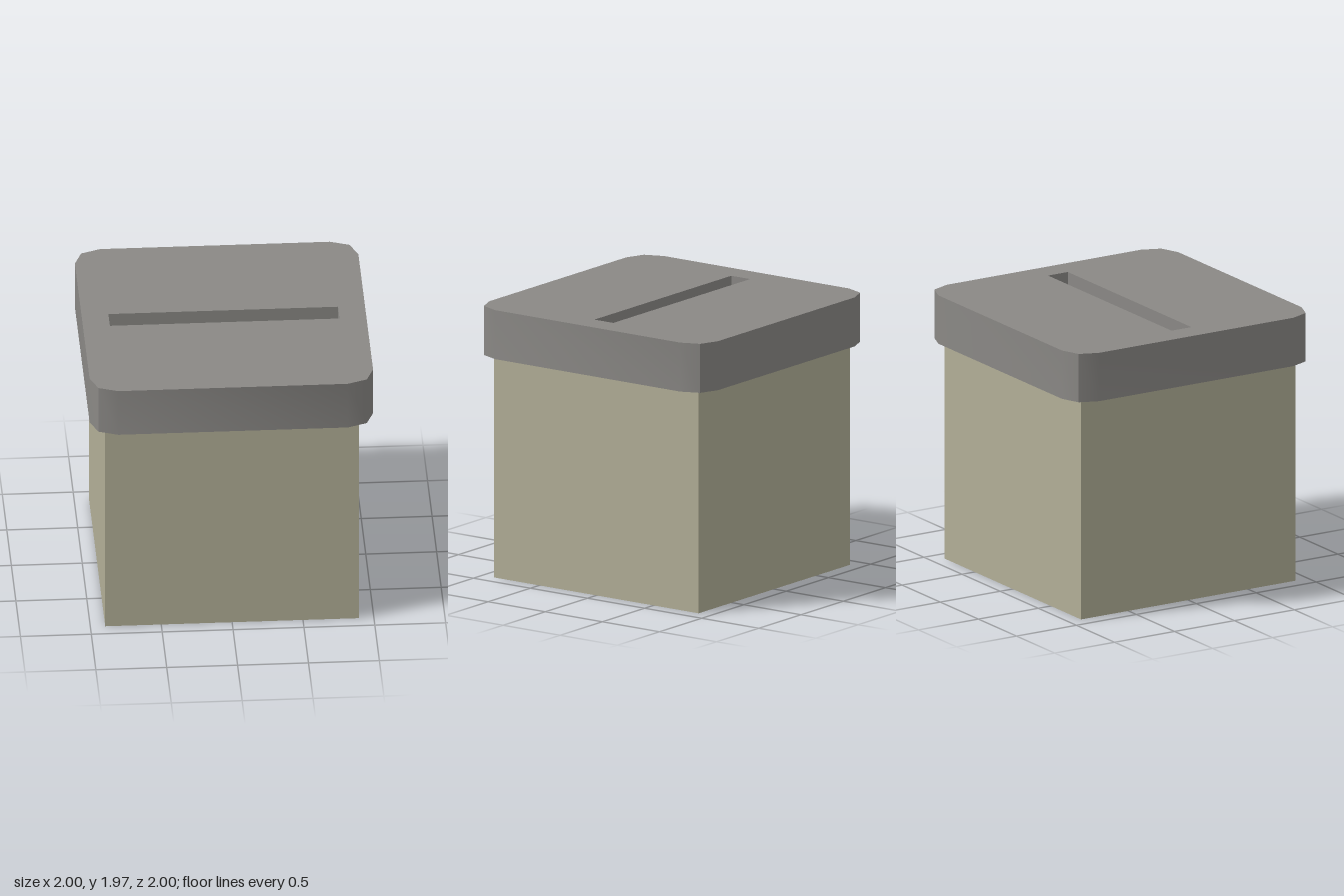
import * as THREE from 'three';
import { toCreasedNormals } from 'three/addons/utils/BufferGeometryUtils.js';

const BODY_WIDTH = 1.79, BODY_HEIGHT = 1.615, LID_HEIGHT = 0.355;

export function createModel() {
  const model = new THREE.Group();
  model.name = 'slottedBox';

  const tan = new THREE.MeshStandardMaterial({ name: 'tan', color: 0xb2af97 });
  const grey = new THREE.MeshStandardMaterial({ name: 'warm grey', color: 0x8a8885 });

  // Square body; its top is the floor of the slot
  const body = new THREE.Mesh(new THREE.BoxGeometry(BODY_WIDTH, BODY_HEIGHT, BODY_WIDTH), tan);
  body.name = 'body';
  body.position.y = BODY_HEIGHT / 2;
  model.add(body);

  // Lid outline: one faceted corner turned through four quarters
  const corner = [[1, 0.81], [0.947, 0.947], [0.81, 1]];
  const outline = [];
  for (let i = 0; i < 4; i++) {
    for (const [x, y] of corner) {
      outline.push(new THREE.Vector2(x, y).rotateAround(new THREE.Vector2(), i * Math.PI / 2));
    }
  }
  const lidShape = new THREE.Shape(outline);

  // Long slot through the lid
  lidShape.holes.push(new THREE.Path([
    new THREE.Vector2(-0.81, -0.08),
    new THREE.Vector2(-0.81, 0.085),
    new THREE.Vector2(0.81, 0.085),
    new THREE.Vector2(0.81, -0.08),
  ]));

  // Shallow corner edges are smooth, the others sharp
  const lidGeometry = new THREE.ExtrudeGeometry(lidShape, { depth: LID_HEIGHT, bevelEnabled: false });
  lidGeometry.rotateX(-Math.PI / 2);
  const lid = new THREE.Mesh(toCreasedNormals(lidGeometry, 0.55), grey);
  lid.name = 'lid';
  lid.position.y = BODY_HEIGHT;
  model.add(lid);

  return model;
}
